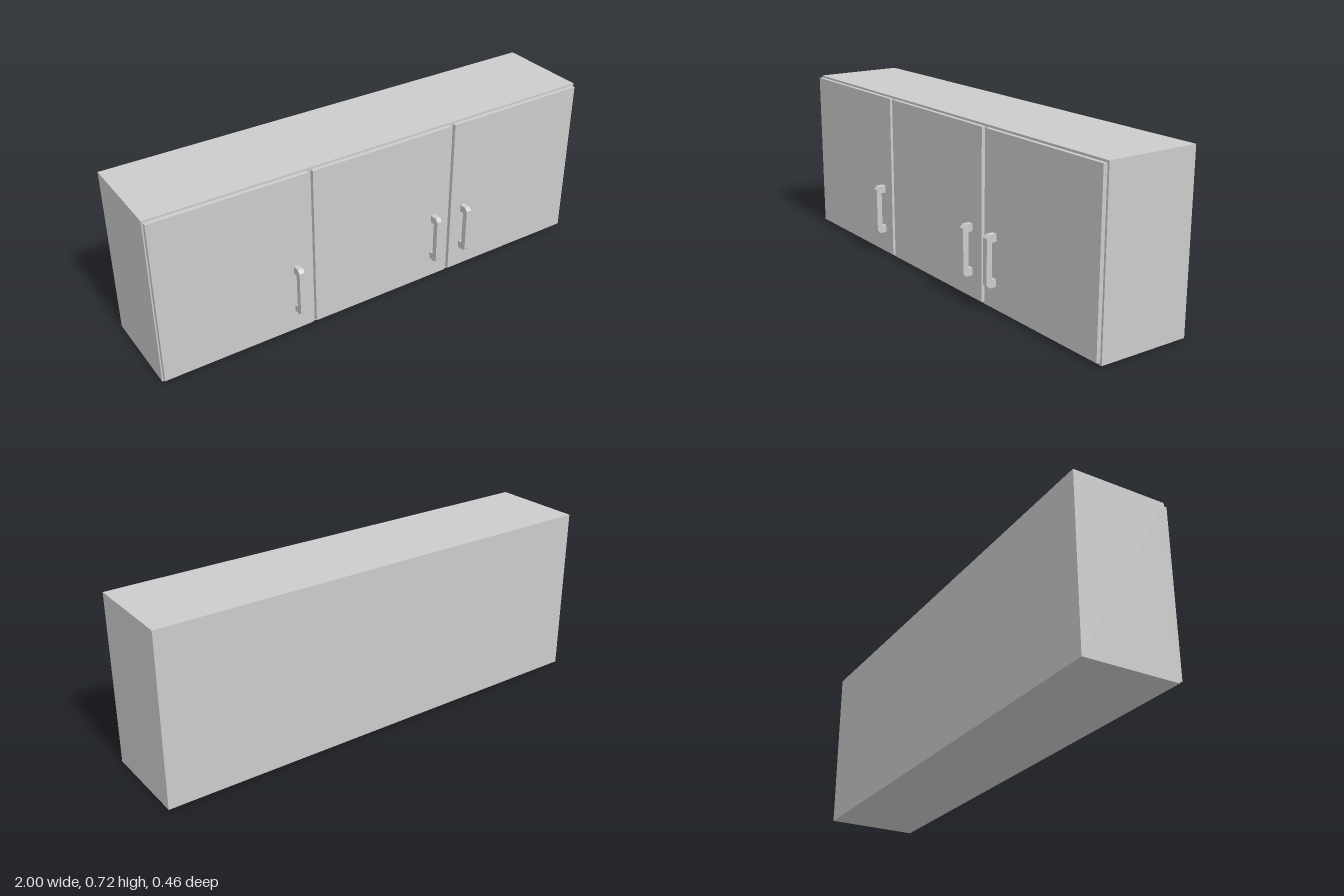
import * as THREE from 'three';

const HEIGHT = 0.722, BACK = -0.23, FRONT = 0.17, DOOR_FACE = 0.187;

export function createModel() {
  const group = new THREE.Group();
  const material = new THREE.MeshStandardMaterial({ color: 0xcccccc, flatShading: true });

  const add = (name, geometry, x, y, z) => {
    const mesh = new THREE.Mesh(geometry, material);
    mesh.name = name;
    mesh.position.set(x, y, z);
    group.add(mesh);
  };

  // Cabinet body
  add('cabinetBody', new THREE.BoxGeometry(2, HEIGHT, FRONT - BACK), 0, HEIGHT / 2, (FRONT + BACK) / 2);

  // Handle: bracket profile with chamfered outer corners, extruded across its width
  const width = 0.023, bottom = 0.105, top = 0.319, outer = 0.231, chamfer = 0.013;
  const profile = new THREE.Shape([
    [DOOR_FACE, bottom], [outer - chamfer, bottom], [outer, bottom + chamfer],
    [outer, top - chamfer], [outer - chamfer, top], [DOOR_FACE, top],
    [DOOR_FACE, 0.287], [0.207, 0.287], [0.207, 0.137], [DOOR_FACE, 0.137],
  ].map(([z, y]) => new THREE.Vector2(z, y)));
  const handle = new THREE.ExtrudeGeometry(profile, { depth: width, bevelEnabled: false });
  handle.translate(0, 0, -width / 2).rotateY(-Math.PI / 2);

  // Three slab doors, each with its own handle
  const door = new THREE.BoxGeometry(0.649, 0.701, DOOR_FACE - FRONT);
  const doors = [
    ['rightDoor', -0.67, 'rightHandle', -0.412],
    ['middleDoor', -0.002, 'middleHandle', 0.251],
    ['leftDoor', 0.667, 'leftHandle', 0.406],
  ];
  for (const [doorName, doorX, handleName, handleX] of doors) {
    add(doorName, door, doorX, 0.3625, (FRONT + DOOR_FACE) / 2);
    add(handleName, handle, handleX, 0, 0);
  }

  return group;
}
